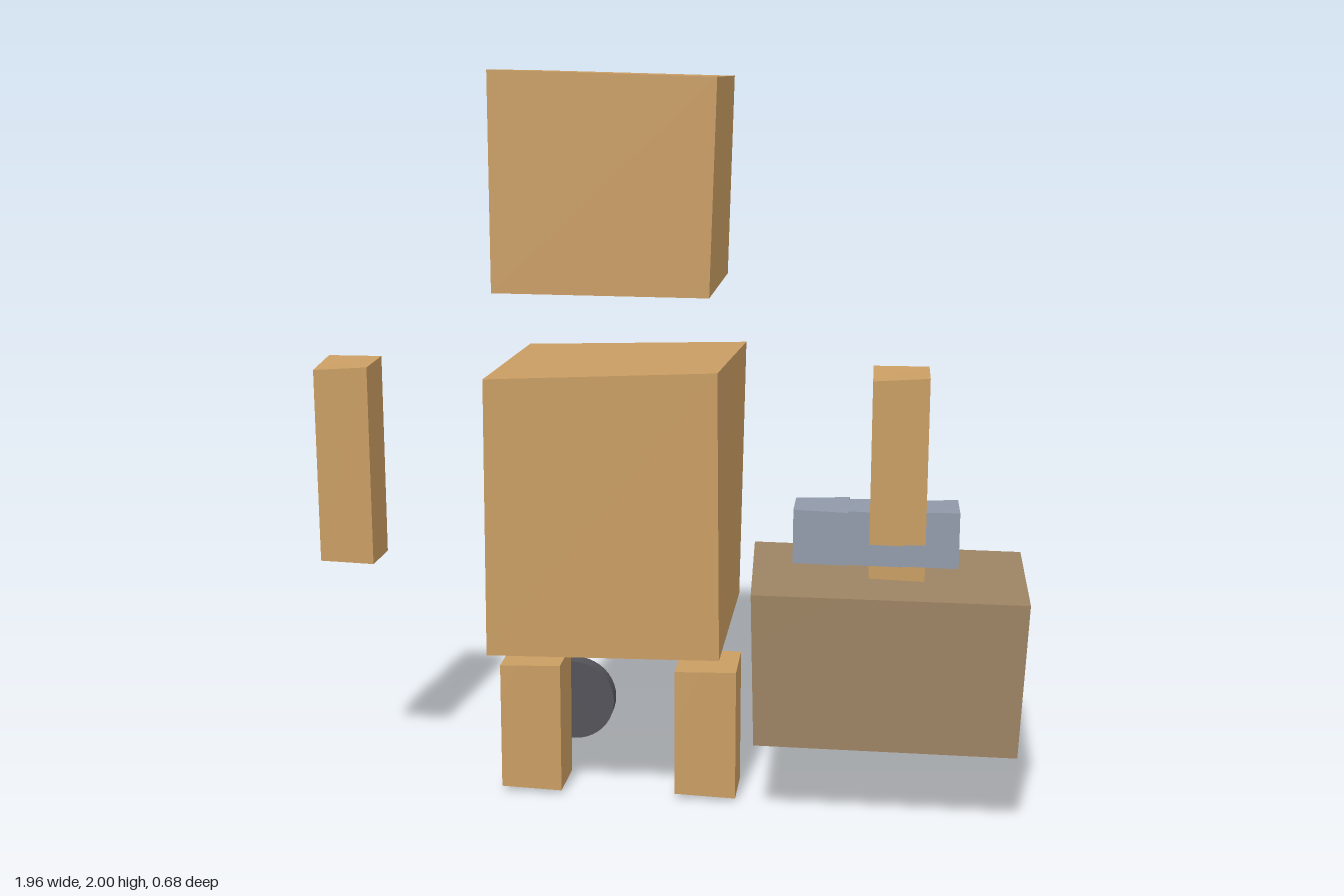
import * as THREE from 'three';

const mat = (name, color, flatShading = false) => {
  const m = new THREE.MeshStandardMaterial({ color, flatShading });
  m.name = name;
  return m;
};

// Six-sided block from corners: top-left, top-right, bottom-right, bottom-left
// of the +z face, then the same order for the -z face.
function block(name, material, corners) {
  const geo = new THREE.BoxGeometry(1, 1, 1);
  const p = geo.attributes.position;
  for (let i = 0; i < p.count; i++) {
    const right = p.getX(i) > 0, top = p.getY(i) > 0, back = p.getZ(i) < 0;
    const k = (top ? (right ? 1 : 0) : (right ? 2 : 3)) + (back ? 4 : 0);
    p.setXYZ(i, ...corners[k]);
  }
  geo.computeVertexNormals();
  const mesh = new THREE.Mesh(geo, material);
  mesh.name = name;
  return mesh;
}

export function createModel() {
  const wood = mat('wood', 0xc99d63);
  const crate = mat('darkWood', 0x9c8363);
  const steel = mat('steel', 0x9099a9);
  const dark = mat('charcoal', 0x545359);
  const model = new THREE.Group();
  model.name = 'crookedBlockRobot';

  // Head and body, slightly crooked
  model.add(block('head', wood, [
    [-0.435, 2.0, 0.305], [0.143, 1.983, 0.308], [0.125, 1.435, 0.305], [-0.435, 1.44, 0.305],
    [-0.43, 1.995, -0.255], [0.14, 1.98, -0.25], [0.125, 1.435, -0.24], [-0.43, 1.44, -0.24],
  ]));
  model.add(block('torso', wood, [
    [-0.455, 1.222, 0.338], [0.15, 1.25, 0.34], [0.158, 0.488, 0.338], [-0.46, 0.48, 0.34],
    [-0.455, 1.215, -0.295], [0.175, 1.232, -0.298], [0.162, 0.488, -0.275], [-0.455, 0.485, -0.28],
  ]));

  // Eyes
  for (const x of [-0.295, 0.0]) {
    const eye = new THREE.Mesh(new THREE.SphereGeometry(0.073, 32, 20), dark);
    eye.name = 'eye';
    eye.position.set(x, 1.785, -0.268);
    model.add(eye);
  }

  // Arms
  for (const [name, x] of [['rightArm', -0.905], ['leftArm', 0.615]]) {
    const a = x - 0.075, b = x + 0.075;
    model.add(block(name, wood, [
      [a, 1.195, 0.1], [b, 1.205, 0.1], [b, 0.65, 0.1], [a, 0.655, 0.1],
      [a, 1.212, -0.048], [b, 1.212, -0.05], [b, 0.648, -0.047], [a, 0.65, -0.047],
    ]));
  }

  // Legs
  for (const [name, x] of [['rightLeg', -0.39], ['leftLeg', 0.1]]) {
    const a = x - 0.085, b = x + 0.085;
    model.add(block(name, wood, [
      [a, 0.372, 0.11], [b, 0.377, 0.113], [b, 0.01, 0.115], [a, 0.015, 0.113],
      [a, 0.375, -0.068], [b, 0.38, -0.063], [b, 0.0, -0.058], [a, 0.005, -0.056],
    ]));
  }

  // Row of three steel blocks gripped by the left arm
  for (let i = 0; i < 3; i++) {
    const a = 0.335 + i * 0.148, b = a + 0.148;
    model.add(block('steelBlock', steel, [
      [a, 0.84, 0.097], [b, 0.835 + (i === 2 ? 0.008 : 0), 0.097], [b, 0.69, 0.102], [a, 0.692, 0.102],
      [a, 0.836, -0.053], [b, 0.842, -0.054], [b, 0.692, -0.052], [a, 0.69, -0.052],
    ]));
  }

  // Crate beside the body
  model.add(block('crate', crate, [
    [0.235, 0.652, 0.28], [0.958, 0.648, 0.278], [0.94, 0.228, 0.274], [0.245, 0.232, 0.272],
    [0.21, 0.66, -0.225], [0.967, 0.652, -0.228], [0.975, 0.22, -0.222], [0.235, 0.228, -0.222],
  ]));

  // Wheels on the back
  for (const x of [-0.325, 0.775]) {
    const wheel = new THREE.Mesh(new THREE.CylinderGeometry(0.12, 0.12, 0.047, 40), dark);
    wheel.name = 'wheel';
    wheel.rotation.x = Math.PI / 2;
    wheel.position.set(x, 0.155, -0.244);
    model.add(wheel);
  }
  return model;
}
